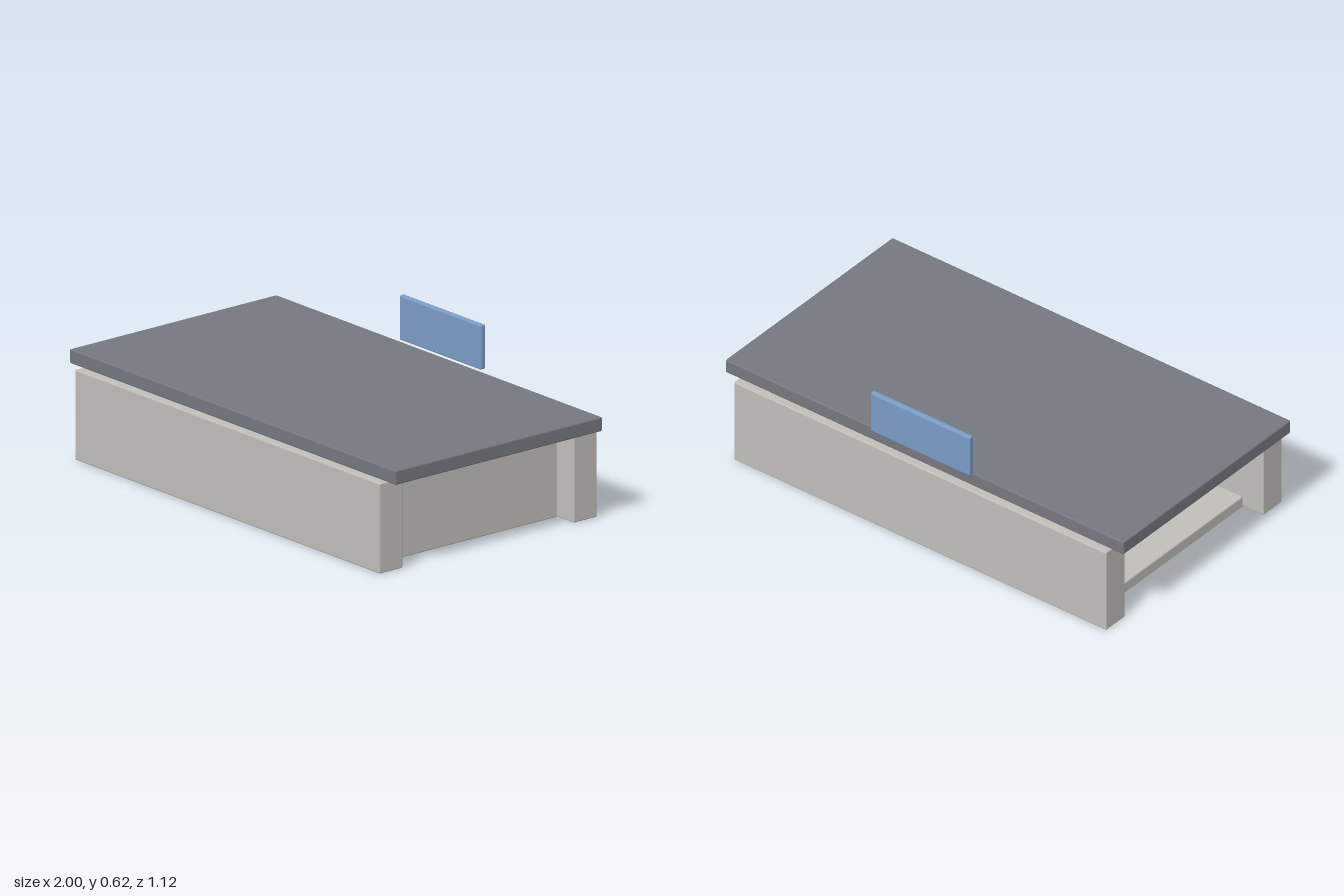
import * as THREE from 'three';
import { RoundedBoxGeometry } from 'three/addons/geometries/RoundedBoxGeometry.js';

const material = (color) => new THREE.MeshStandardMaterial({ color });

export function createModel() {
  const group = new THREE.Group();
  const stone = material(0xc0beb9);
  const slate = material(0x75787f);
  const blue = material(0x7a9cc6);

  // box with a narrow chamfer, placed by the centre of its base
  function block(name, mat, w, h, d, x, y, z, bevel = 0.005) {
    const geometry = new RoundedBoxGeometry(w, h, d, 1, bevel);
    geometry.computeVertexNormals();
    const mesh = new THREE.Mesh(geometry, mat);
    mesh.name = name;
    mesh.position.set(x, y + h / 2, z);
    group.add(mesh);
  }

  // long side walls
  block('frontWall', stone, 1.87, 0.374, 0.119, 0, 0, 0.4985);
  block('backWall', stone, 1.87, 0.374, 0.119, 0, 0, -0.4985);

  // flight of steps between the walls, rising toward +x
  const steps = 5;
  const run = 1.67 / steps;
  for (let i = 0; i < steps; i++) {
    const height = THREE.MathUtils.lerp(0.05, 0.372, i / (steps - 1));
    block(`step${i + 1}`, stone, run, height, 0.872, -0.835 + run * (i + 0.5), 0, 0);
  }

  // flat roof and the sign board behind it
  block('roof', slate, 2, 0.059, 1.06, 0, 0.378, 0);
  block('signBoard', blue, 0.5, 0.185, 0.025, 0, 0.44, -0.5455, 0.006);

  return group;
}
